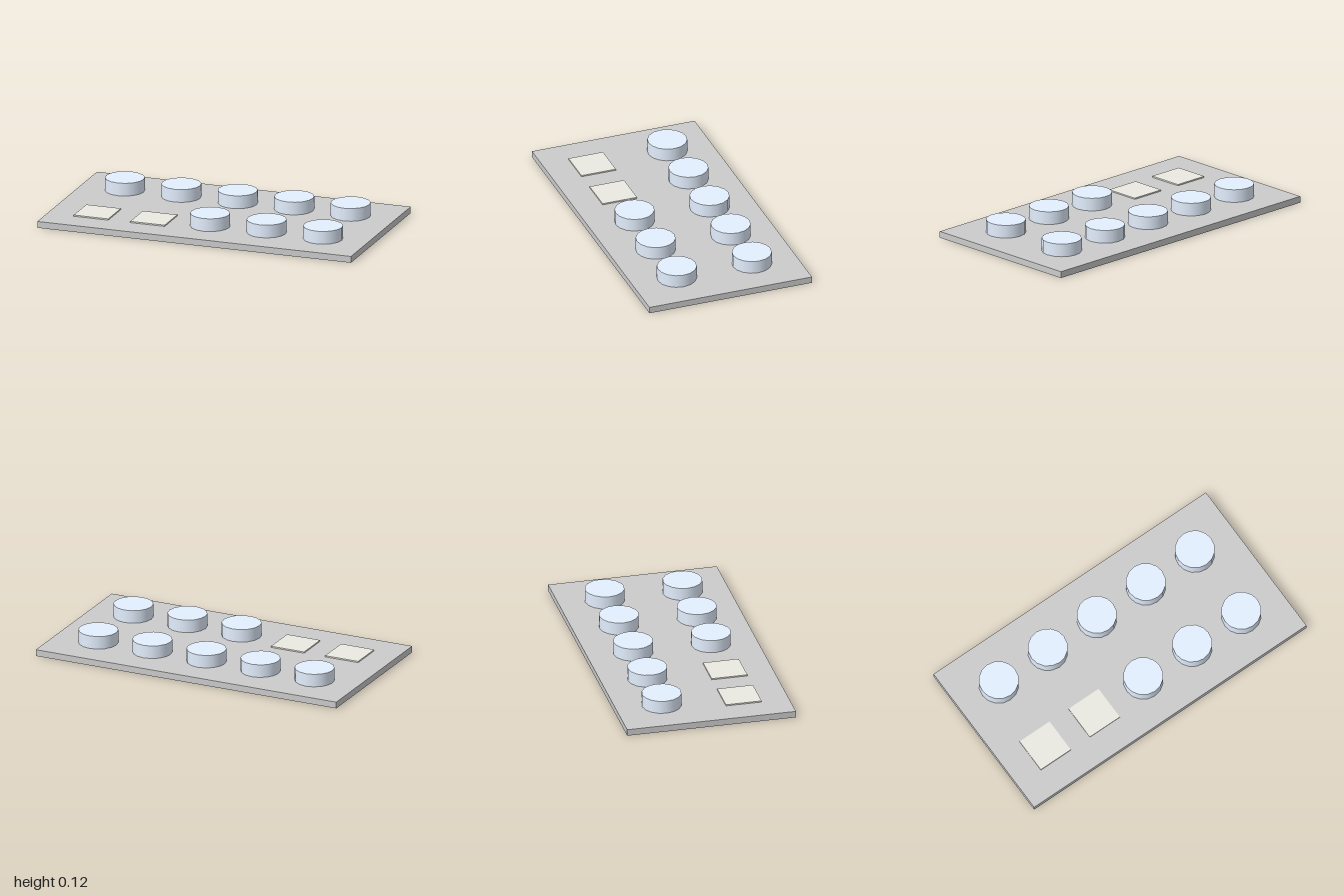
import * as THREE from 'three';

export function createModel() {
  const model = new THREE.Group();
  const plateMaterial = new THREE.MeshStandardMaterial({ color: 0xcccccc });
  const discMaterial = new THREE.MeshStandardMaterial({ color: 0xe4f0ff });
  const tileMaterial = new THREE.MeshStandardMaterial({ color: 0xebeae2 });

  const plateHeight = 0.04, discHeight = 0.08, tileHeight = 0.008;
  const spacing = 0.36, rowZ = 0.24;

  // Adds a named mesh resting on the given height
  function add(name, geometry, material, height, x, base, z) {
    const mesh = new THREE.Mesh(geometry, material);
    mesh.name = name;
    mesh.position.set(x, base + height / 2, z);
    model.add(mesh);
  }

  // Flat base plate
  add('basePlate', new THREE.BoxGeometry(2, plateHeight, 1.04), plateMaterial, plateHeight, 0, 0, 0);

  // Two rows of five: round discs, with two thin square tiles at the front
  const disc = new THREE.CylinderGeometry(0.12, 0.12, discHeight, 16);
  const tile = new THREE.BoxGeometry(0.22, tileHeight, 0.22);
  for (const z of [-rowZ, rowZ]) {
    for (let i = 0; i < 5; i++) {
      const x = (i - 2) * spacing;
      if (z > 0 && i < 2) add('squareTile', tile, tileMaterial, tileHeight, x, plateHeight, z);
      else add('roundDisc', disc, discMaterial, discHeight, x, plateHeight, z);
    }
  }
  return model;
}
